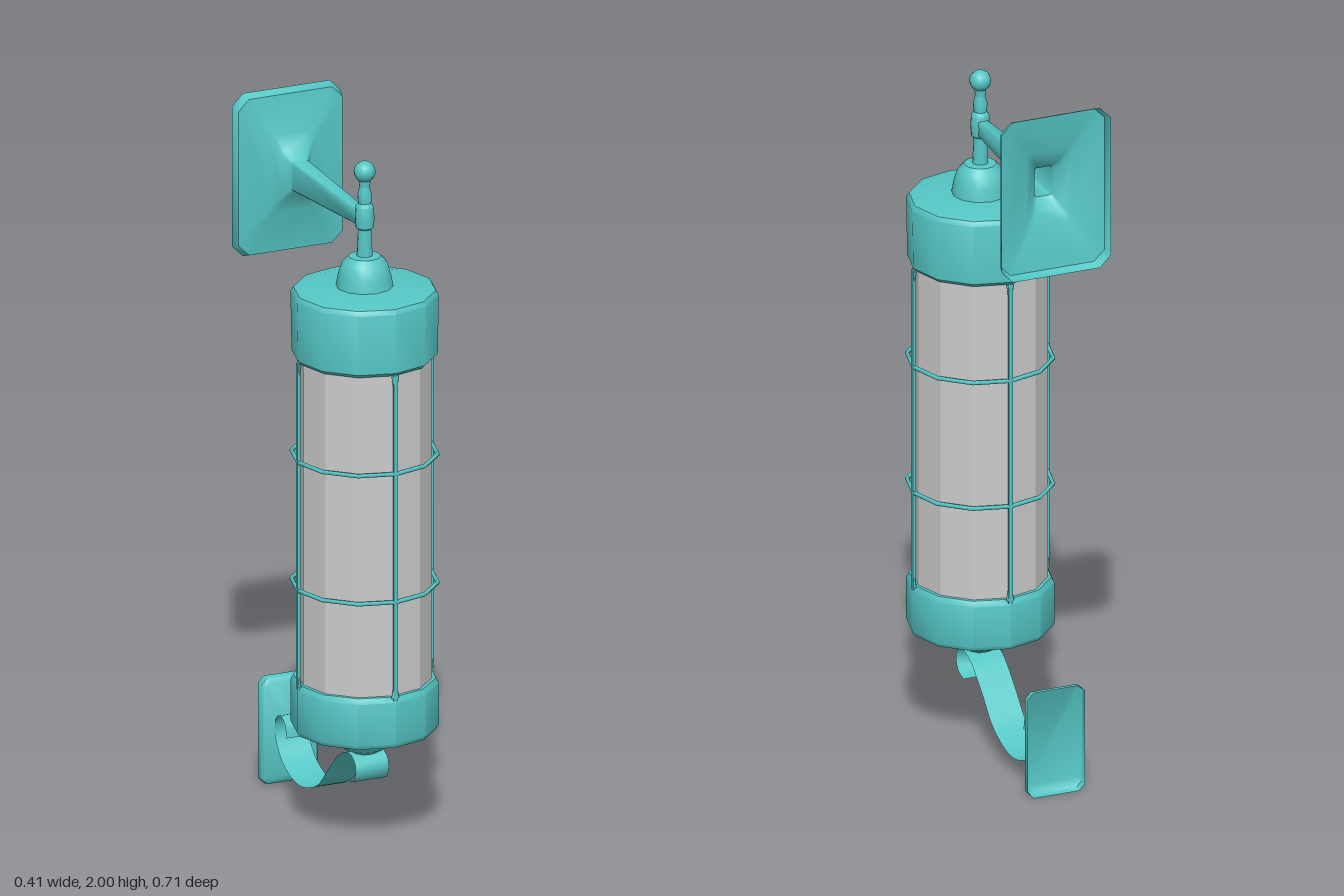
import * as THREE from 'three';
import { toCreasedNormals } from 'three/addons/utils/BufferGeometryUtils.js';

const SIDES = 12;

export function createModel() {
  const root = new THREE.Group();
  const metal = new THREE.MeshStandardMaterial({ color: 0x55c7c5 });
  const thinMetal = new THREE.MeshStandardMaterial({ color: 0x55c7c5, side: THREE.DoubleSide });
  const glass = new THREE.MeshStandardMaterial({ color: 0xcccccc, flatShading: true });

  const add = (parent, name, geometry, material = metal) => {
    const mesh = new THREE.Mesh(geometry, material);
    mesh.name = name;
    parent.add(mesh);
    return mesh;
  };

  // Turned part from [radius, height] pairs, bottom to top
  const turned = (points) => toCreasedNormals(
    new THREE.LatheGeometry(points.map(([r, y]) => new THREE.Vector2(r, y)), SIDES), 0.65);

  // Chamfered rectangles joined along z: [z, halfWidth, bottom, top]; open at the back, closed in front
  const loft = (stations) => {
    const pos = [], index = [];
    for (const [z, w, y0, y1] of stations) {
      const c = w * 0.2;
      const ring = [[w, y0 + c], [w, y1 - c], [w - c, y1], [c - w, y1],
        [-w, y1 - c], [-w, y0 + c], [c - w, y0], [w - c, y0]];
      ring.forEach(([x, y]) => pos.push(x, y, z));
    }
    for (let i = 0; i < stations.length - 1; i++) {
      for (let j = 0; j < 8; j++) {
        const a = i * 8 + j, b = i * 8 + (j + 1) % 8;
        index.push(a, b, b + 8, a, b + 8, a + 8);
      }
    }
    const last = (stations.length - 1) * 8;
    for (let j = 1; j < 7; j++) index.push(last, last + j, last + j + 1);
    const geo = new THREE.BufferGeometry();
    geo.setAttribute('position', new THREE.Float32BufferAttribute(pos, 3));
    geo.setIndex(index);
    return toCreasedNormals(geo, 0.8);
  };

  // Lantern body, hanging in front of the wall
  const lantern = new THREE.Group();
  lantern.name = 'lantern';
  lantern.position.z = 0.15;
  root.add(lantern);

  add(lantern, 'glassTube', new THREE.CylinderGeometry(0.185, 0.185, 0.97, SIDES), glass).position.y = 0.925;
  add(lantern, 'topCap', turned([[0, 1.385], [0.19, 1.385], [0.2, 1.395], [0.203, 1.565],
    [0.195, 1.578], [0.155, 1.587], [0, 1.587]]));
  add(lantern, 'bottomCap', turned([[0, 0.308], [0.15, 0.308], [0.197, 0.314], [0.203, 0.325],
    [0.203, 0.445], [0.195, 0.46], [0, 0.465]]));
  add(lantern, 'topDome', turned([[0.08, 1.58], [0.073, 1.62], [0.062, 1.655], [0.045, 1.672], [0, 1.676]]));
  add(lantern, 'bottomDome', turned([[0, 0.24], [0.035, 0.243], [0.06, 0.257], [0.078, 0.28], [0.09, 0.312]]));
  add(lantern, 'stem', turned([[0.022, 1.67], [0.018, 1.75], [0.025, 1.755], [0.027, 1.78], [0.025, 1.815],
    [0.018, 1.825], [0.02, 1.85], [0.014, 1.87], [0.018, 1.9]]));
  add(lantern, 'finialBall', new THREE.SphereGeometry(0.03, 12, 10)).position.y = 1.915;

  // Wire cage: four flared bars and two rings
  for (let i = 0; i < 4; i++) {
    const bar = new THREE.Group();
    bar.name = 'cageBar';
    bar.rotation.y = i * Math.PI / 2;
    lantern.add(bar);
    add(bar, 'barRod', new THREE.BoxGeometry(0.012, 0.94, 0.008)).position.set(0, 0.92, 0.2);
    for (const [y, top, bottom] of [[1.37, 0.012, 0.006], [0.475, 0.006, 0.012]]) {
      const foot = add(bar, 'barFoot', new THREE.CylinderGeometry(top, bottom, 0.035, 8));
      foot.position.set(0, y, 0.198);
      foot.scale.z = 0.5;
    }
  }
  for (const y of [0.735, 1.105]) {
    const ring = add(lantern, 'cageRing', new THREE.TorusGeometry(0.2, 0.006, 6, SIDES));
    ring.rotation.x = Math.PI / 2;
    ring.position.y = y;
  }

  // Upper bracket: hollow wall plate flaring into a tapered arm
  add(root, 'upperBracket', loft([
    [-0.355, 0.163, 1.53, 2.0], [-0.328, 0.156, 1.54, 1.99], [-0.31, 0.07, 1.66, 1.88],
    [-0.29, 0.043, 1.7, 1.837], [-0.265, 0.025, 1.73, 1.815], [0.14, 0.014, 1.757, 1.803],
  ]), thinMetal);

  // Lower wall plate
  add(root, 'lowerPlate', loft([
    [-0.355, 0.085, 0, 0.31], [-0.335, 0.085, 0.003, 0.307], [-0.325, 0.076, 0.014, 0.296],
  ]), thinMetal);

  // Scrolled strap: a flat strip bent along a curve in the z-y plane
  const path = new THREE.CatmullRomCurve3([
    [0.15, 0.16], [0.188, 0.174], [0.2, 0.215], [0.17, 0.244], [0.11, 0.232], [0.03, 0.165],
    [-0.05, 0.087], [-0.17, 0.05], [-0.275, 0.085], [-0.323, 0.155], [-0.312, 0.2],
    [-0.285, 0.214], [-0.256, 0.197], [-0.247, 0.16],
  ].map(([z, y]) => new THREE.Vector3(0, y, z)));
  const strap = new THREE.PlaneGeometry(0.1, 1, 1, 48);
  const p = strap.attributes.position;
  for (let i = 0; i < p.count; i++) {
    const point = path.getPointAt(THREE.MathUtils.clamp(p.getY(i) + 0.5, 0, 1));
    p.setXYZ(i, p.getX(i), point.y, point.z);
  }
  strap.computeVertexNormals();
  add(root, 'scrollStrap', strap, thinMetal);

  return root;
}
